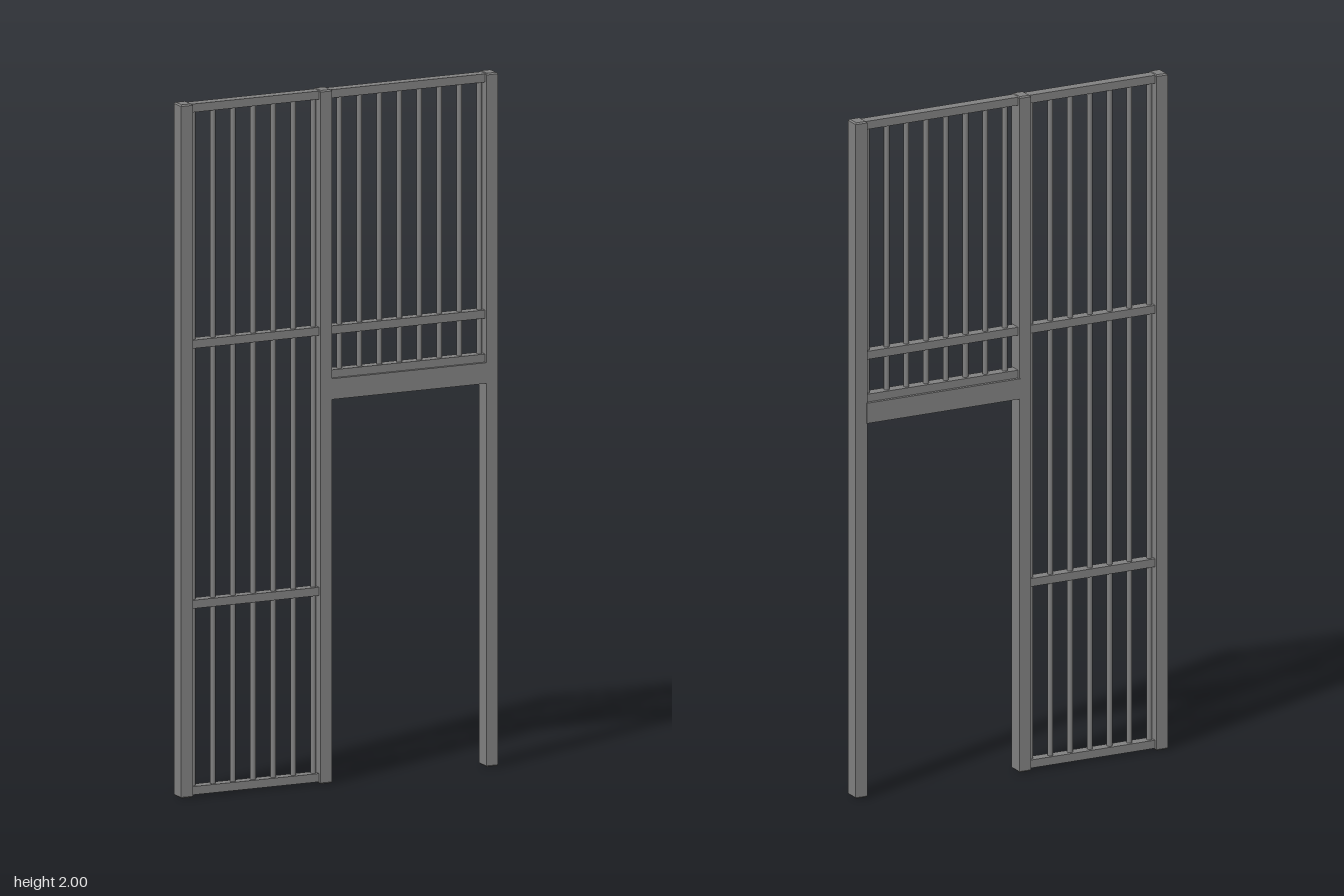
import * as THREE from 'three';

const steel = new THREE.MeshStandardMaterial({ color: 0x808080 });
steel.name = 'grey steel';

// Box with chamfered edges, running along y from y0 to y1
function chamferedPost(w, d, y0, y1, c = 0.004) {
  const a = w / 2 - c, b = d / 2 - c;
  const shape = new THREE.Shape();
  shape.moveTo(-a, -b);
  shape.lineTo(a, -b);
  shape.lineTo(a, b);
  shape.lineTo(-a, b);
  shape.closePath();
  const solid = new THREE.ExtrudeGeometry(shape, {
    depth: y1 - y0 - 2 * c, bevelEnabled: true, bevelSize: c, bevelThickness: c, bevelSegments: 1,
  });
  solid.translate(0, 0, c).rotateX(-Math.PI / 2).translate(0, y0, 0);
  return solid;
}

export function createModel() {
  const model = new THREE.Group();
  model.name = 'barredDoorFrame';

  const add = (name, geometry, x = 0, y = 0, parent = model) => {
    const mesh = new THREE.Mesh(geometry, steel);
    mesh.name = name;
    mesh.position.set(x, y, 0);
    parent.add(mesh);
  };

  // Three full-height posts
  const postGeo = chamferedPost(0.037, 0.047, 0, 2);
  [['rightPost', -0.478], ['middlePost', -0.043], ['leftPost', 0.476]]
    .forEach(([name, x]) => add(name, postGeo, x));

  // One panel: flat horizontal rails with evenly spaced round bars
  function panel(name, x0, x1, railYs, barX0, barX1, bars, y0) {
    const group = new THREE.Group();
    group.name = name;
    const railGeo = new THREE.BoxGeometry(x1 - x0, 0.024, 0.032);
    railYs.forEach((y) => add('rail', railGeo, (x0 + x1) / 2, y, group));
    const y1 = 1.998;
    const barGeo = new THREE.CylinderGeometry(0.008, 0.008, y1 - y0, 12);
    for (let i = 0; i < bars; i++) {
      add('bar', barGeo, THREE.MathUtils.lerp(barX0, barX1, i / (bars - 1)), (y0 + y1) / 2, group);
    }
    model.add(group);
  }
  panel('sidePanel', -0.465, -0.056, [0.018, 0.555, 1.305, 1.986], -0.449, -0.072, 7, 0.007);
  panel('overDoorPanel', -0.03, 0.463, [1.178, 1.305, 1.986], 0.009, 0.447, 8, 1.167);

  // Lintel above the doorway
  add('lintel', new THREE.BoxGeometry(0.487, 0.06, 0.051), 0.2165, 1.137);

  return model;
}
